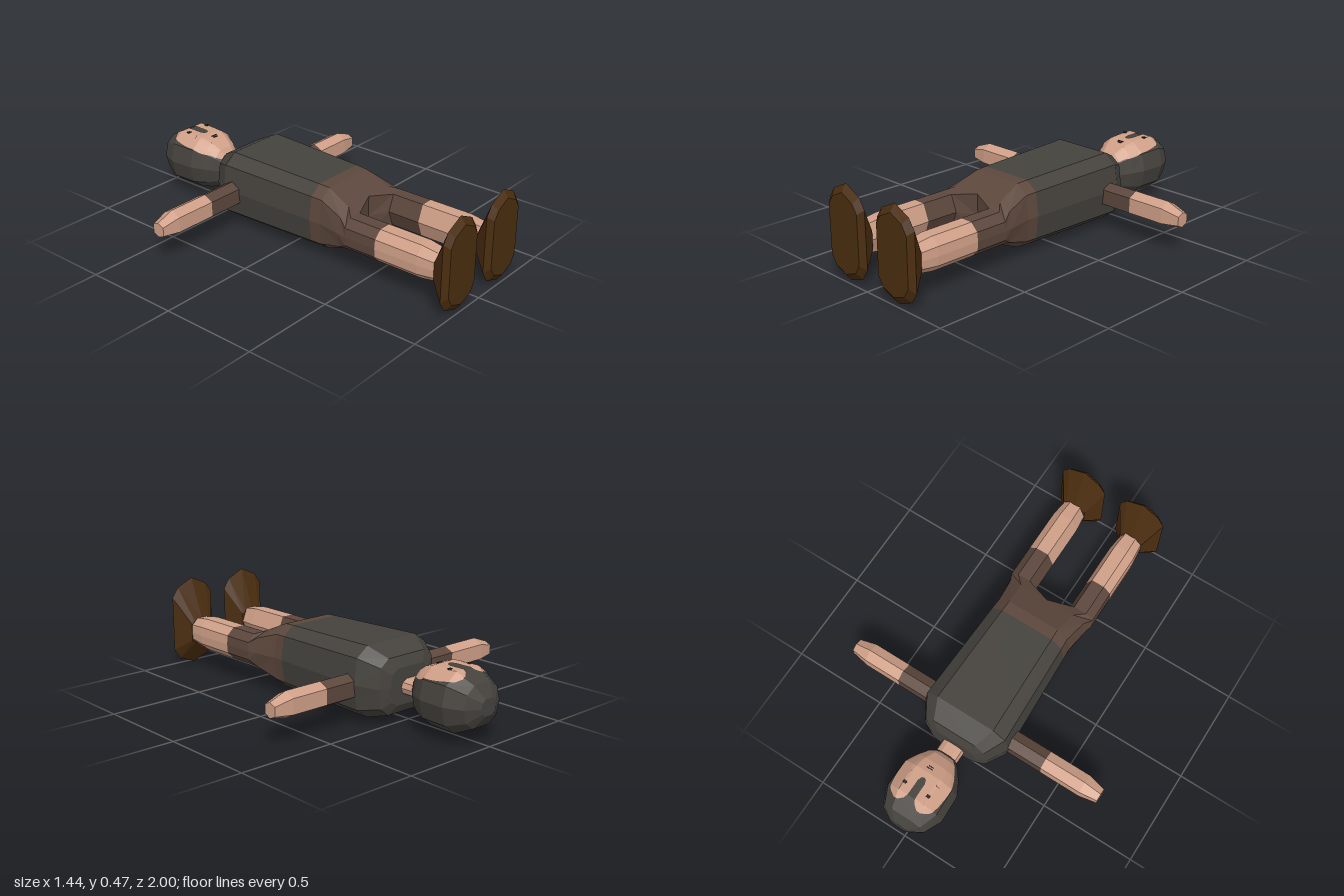
import * as THREE from 'three';

const CX = 0.02; // body centre line

// Unit outlines, mirrored left to right
const mirrored = (half) => [...half, ...half.map(([x, y]) => [-x, y]).reverse()];
const TORSO = mirrored([[0.65, 1], [0.92, 0.72], [1, 0], [0.92, -0.72], [0.65, -1]]);
const HEAD = mirrored([[0.45, 1], [0.85, 0.65], [1, 0], [0.85, -0.65], [0.45, -1]]);
const SHOE = [[0, 1], [0.72, 0.82], [1, 0.6], [1, -0.63], [0.72, -0.86], [0, -1],
  [-0.72, -0.86], [-1, -0.63], [-1, 0.6], [-0.72, 0.82]];
const ARM = [[0, 1], [1, 0.6], [1, -0.6], [0, -1], [-1, -0.6], [-1, 0.6]];
const HIP = [[0, 1], [0.65, 1], [0.92, 0.72], [1, 0], [0.92, -0.72], [0.65, -1], [0, -1], [0, 0]];
const LEG = [[-0.55, 1], [0.4, 1], [0.95, 0.55], [1, 0], [0.95, -0.55], [0.4, -1], [-0.55, -1], [-1, 0]];

// Cross-section in the xy plane at depth z
const ring = (outline, z, cx, cy, rx, ry, side = 1) =>
  outline.map(([x, y]) => new THREE.Vector3(CX + side * (cx + x * rx), cy + y * ry, z));

// Cross-section in the zy plane at distance x
const armRing = (side, x, cy, rz, ry) =>
  ARM.map(([u, v]) => new THREE.Vector3(side * x, cy + v * ry, -0.35 + u * rz));

// Non-indexed geometry gives faceted normals
function faceted(triangles) {
  const g = new THREE.BufferGeometry().setFromPoints(triangles.flat());
  g.computeVertexNormals();
  return g;
}

// Closed loft through rings, turned outward by its signed volume
function loft(rings) {
  const tris = [];
  const n = rings[0].length;
  for (let r = 0; r < rings.length - 1; r++) {
    for (let i = 0; i < n; i++) {
      const j = (i + 1) % n;
      const [a, b, c, d] = [rings[r][i], rings[r][j], rings[r + 1][j], rings[r + 1][i]];
      tris.push([a, b, c], [a, c, d]);
    }
  }
  const last = rings[rings.length - 1];
  for (let i = 1; i < n - 1; i++) {
    tris.push([rings[0][0], rings[0][i + 1], rings[0][i]], [last[0], last[i], last[i + 1]]);
  }
  const volume = tris.reduce((sum, [a, b, c]) => sum + a.dot(b.clone().cross(c)), 0);
  return faceted(volume < 0 ? tris.map(([a, b, c]) => [a, c, b]) : tris);
}

// Head sections: z, centre y, half width, half height
const HEAD_ROWS = [
  [-1.0, 0.19, 0.05, 0.04], [-0.96, 0.19, 0.12, 0.1], [-0.87, 0.192, 0.163, 0.142],
  [-0.73, 0.192, 0.158, 0.14], [-0.67, 0.187, 0.125, 0.125], [-0.62, 0.18, 0.09, 0.1],
  [-0.59, 0.18, 0.06, 0.06],
];

// Height of the head's upper surface at an offset from its centre line
function headTop(x, z) {
  const k = Math.max(1, HEAD_ROWS.findIndex((row) => row[0] >= z));
  const [p, q] = [HEAD_ROWS[k - 1], HEAD_ROWS[k]];
  const t = (z - p[0]) / (q[0] - p[0]);
  const [cy, rx, ry] = [1, 2, 3].map((i) => THREE.MathUtils.lerp(p[i], q[i], t));
  const u = Math.min(1, Math.abs(x) / rx);
  let v = 1;
  if (u > 0.85) v = 0.65 * (1 - u) / 0.15;
  else if (u > 0.45) v = 1 - 0.35 * (u - 0.45) / 0.4;
  return cy + v * ry;
}

// Thin skin surface over the head, parted by the point of hair: z, inner x, outer x
const FACE_ROWS = [
  [-0.91, 0.055, 0.075], [-0.89, 0.03, 0.108], [-0.87, 0.021, 0.122], [-0.83, 0.02, 0.129],
  [-0.785, 0.02, 0.133], [-0.765, 0.012, 0.134], [-0.76, 0, 0.134], [-0.73, 0, 0.133],
  [-0.7, 0, 0.122], [-0.67, 0, 0.108], [-0.645, 0, 0.09], [-0.62, 0, 0.075], [-0.6, 0, 0.05],
];
function faceSide(side) {
  const cols = 8;
  const point = ([z, inner, outer], i) => {
    const t = side > 0 ? i / cols : 1 - i / cols;
    const x = side * THREE.MathUtils.lerp(inner, outer, t);
    return new THREE.Vector3(CX - 0.004 + x, headTop(x, z) + 0.005, z);
  };
  const tris = [];
  for (let r = 0; r < FACE_ROWS.length - 1; r++) {
    for (let i = 0; i < cols; i++) {
      const a = point(FACE_ROWS[r], i), b = point(FACE_ROWS[r + 1], i);
      const c = point(FACE_ROWS[r + 1], i + 1), d = point(FACE_ROWS[r], i + 1);
      tris.push([a, b, c], [a, c, d]);
    }
  }
  return faceted(tris);
}

export function createModel() {
  const material = (name, color) => {
    const m = new THREE.MeshStandardMaterial({ color });
    m.name = name;
    return m;
  };
  const skin = material('skin', 0xcf9f87);
  const charcoal = material('charcoal', 0x45423d);
  const brown = material('brown cloth', 0x5c473c);
  const leather = material('shoe leather', 0x4a2d0f);
  const ink = material('dark features', 0x2c2522);

  const model = new THREE.Group();
  model.name = 'lyingFigure';
  const add = (name, geometry, mat) => {
    const mesh = new THREE.Mesh(geometry, mat);
    mesh.name = name;
    model.add(mesh);
    return mesh;
  };

  // Torso and waistband
  add('shirt', loft([
    ring(TORSO, -0.525, 0, 0.185, 0.13, 0.09),
    ring(TORSO, -0.5, 0, 0.188, 0.183, 0.138),
    ring(TORSO, -0.4, 0, 0.2, 0.245, 0.175),
    ring(TORSO, 0.15, 0, 0.196, 0.222, 0.166),
  ]), charcoal);
  add('waistband', loft([
    ring(TORSO, 0.15, 0, 0.196, 0.222, 0.166),
    ring(TORSO, 0.21, 0, 0.195, 0.218, 0.164),
  ]), brown);

  // Neck and head
  add('neck', loft([
    ring(HEAD, -0.6, -0.003, 0.177, 0.062, 0.04),
    ring(HEAD, -0.51, -0.003, 0.177, 0.062, 0.04),
  ]), skin);
  add('headAndHair', loft(HEAD_ROWS.map(([z, cy, rx, ry]) => ring(HEAD, z, -0.004, cy, rx, ry))), charcoal);

  for (const side of [-1, 1]) {
    const label = side > 0 ? 'left' : 'right';

    // Face and eye
    add(label + 'Face', faceSide(side), skin);
    const eye = add(label + 'Eye', new THREE.BoxGeometry(0.018, 0.006, 0.014), ink);
    eye.position.set(CX - 0.004 + side * 0.066, headTop(0.066, -0.825) + 0.006, -0.825);

    // Arm
    const cy = side > 0 ? 0.181 : 0.187;
    const cuff = side > 0 ? 0.43 : 0.41;
    add(label + 'Sleeve', loft([
      armRing(side, 0.18, cy, 0.05, 0.064), armRing(side, cuff, cy, 0.05, 0.064),
    ]), brown);
    add(label + 'Forearm', loft([
      armRing(side, cuff, cy, 0.05, 0.064), armRing(side, 0.63, cy, 0.05, 0.064),
      armRing(side, 0.722, cy - 0.008, 0.034, 0.038),
    ]), skin);

    // Leg
    add(label + 'Trouser', loft([
      ring(HIP, 0.21, 0, 0.195, 0.218, 0.164, side),
      ring(HIP, 0.34, 0, 0.194, 0.238, 0.108, side),
      ring(LEG, 0.39, 0.173, 0.195, 0.073, 0.084, side),
      ring(LEG, 0.565, 0.173, 0.195, 0.073, 0.084, side),
    ]), brown);
    add(label + 'Shin', loft([
      ring(LEG, 0.565, 0.173, 0.195, 0.073, 0.084, side),
      ring(LEG, 0.8, 0.173, 0.195, 0.073, 0.084, side),
      ring(LEG, 0.9, 0.173, 0.195, 0.062, 0.07, side),
    ]), skin);

    // Shoe
    add(label + 'Shoe', loft([
      ring(SHOE, 0.89, 0.173, 0.195, 0.064, 0.073, side),
      ring(SHOE, 0.973, 0.173, 0.238, 0.127, 0.237, side),
      ring(SHOE, 1.0, 0.173, 0.238, 0.103, 0.2, side),
    ]), leather);
  }

  // Mouth
  for (const [width, z] of [[0.034, -0.708], [0.024, -0.697]]) {
    const lip = add('lip', new THREE.BoxGeometry(width, 0.006, 0.004), ink);
    lip.position.set(CX, headTop(0, z) + 0.006, z);
  }
  return model;
}
